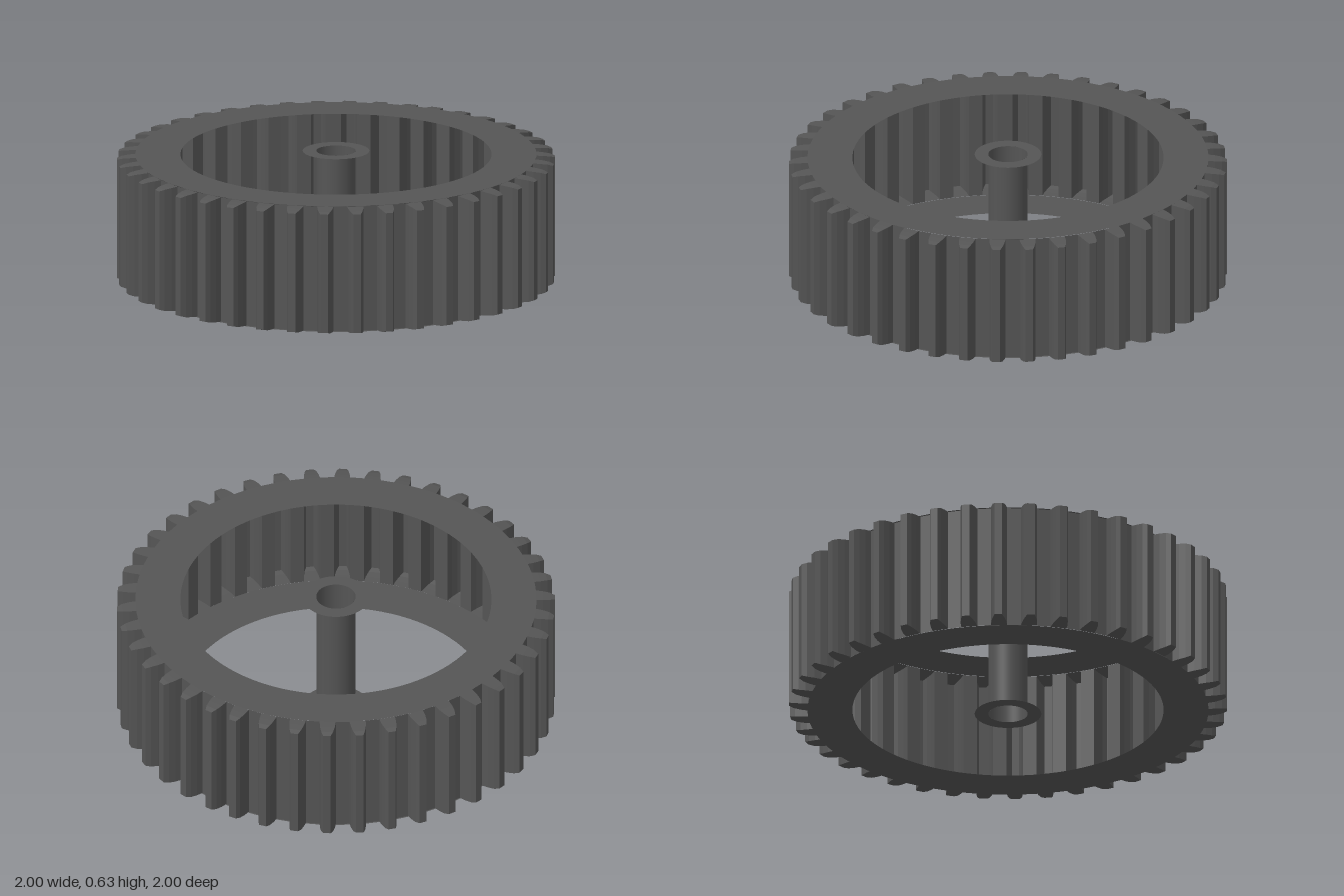
import * as THREE from 'three';

const BOTTOM = 0.02, TOP = 0.613, HEIGHT = 0.63;
const TEETH = 42, PITCH = THREE.MathUtils.degToRad(8.6);
// Half of a tooth in plan: [radius, half width, inset of the sloped end]
const FLANK = [[0.912, 0.037, 0.003], [0.945, 0.034, 0.006], [0.977, 0.027, 0.01], [1.0, 0.017, 0.017]];

const material = new THREE.MeshStandardMaterial({ color: 0x555555, flatShading: true, side: THREE.DoubleSide });
const smooth = new THREE.MeshStandardMaterial({ color: 0x555555, side: THREE.DoubleSide });

function add(group, name, geometry, mat) {
  const mesh = new THREE.Mesh(geometry, mat);
  mesh.name = name;
  group.add(mesh);
  return mesh;
}

// Point on the flank of a tooth; side is -1 or 1
function flankPoint(tooth, side, [r, half, inset]) {
  const a = tooth * PITCH + side * Math.asin(half / r);
  const x = r * Math.sin(a), z = -r * Math.cos(a);
  return { lo: [x, BOTTOM + inset, z], hi: [x, TOP - inset, z] };
}

// Hollow toothed wall with sloped tooth ends
function toothedWall() {
  const pos = [];
  const quad = (a, b, c, d) => pos.push(...a, ...b, ...c, ...a, ...c, ...d);
  const outline = [];
  for (let t = 0; t < TEETH; t++) {
    const left = FLANK.map(p => flankPoint(t, -1, p));
    const right = FLANK.map(p => flankPoint(t, 1, p));
    outline.push(...left, ...[...right].reverse());
    for (let i = 0; i < FLANK.length - 1; i++) {
      quad(left[i].hi, right[i].hi, right[i + 1].hi, left[i + 1].hi);
      quad(left[i + 1].lo, right[i + 1].lo, right[i].lo, left[i].lo);
    }
  }
  outline.forEach((p, i) => {
    const q = outline[(i + 1) % outline.length];
    quad(q.lo, p.lo, p.hi, q.hi);
  });
  const g = new THREE.BufferGeometry();
  g.setAttribute('position', new THREE.Float32BufferAttribute(pos, 3));
  g.computeVertexNormals();
  return g;
}

// Flat annulus facing up or down
function flatRing(inner, outer, y, up) {
  return new THREE.RingGeometry(inner, outer, 96).rotateX(up ? -Math.PI / 2 : Math.PI / 2).translate(0, y, 0);
}

export function createModel() {
  const group = new THREE.Group();
  group.name = 'gearWheel';

  // Toothed rim, open on the inside
  add(group, 'toothedWall', toothedWall(), material);
  add(group, 'rimTop', flatRing(0.71, 0.915, TOP, true), material);
  add(group, 'rimBottom', flatRing(0.71, 0.915, BOTTOM, false), material);

  // Hollow axle with a thin flange at each end
  const tube = new THREE.CylinderGeometry(0.09, 0.09, HEIGHT, 48, 1, true).translate(0, HEIGHT / 2, 0);
  add(group, 'axleTube', tube, smooth);
  add(group, 'axleFlangeTop', flatRing(0.09, 0.152, HEIGHT, true), material);
  add(group, 'axleFlangeBottom', flatRing(0.09, 0.152, 0, false), material);
  return group;
}
